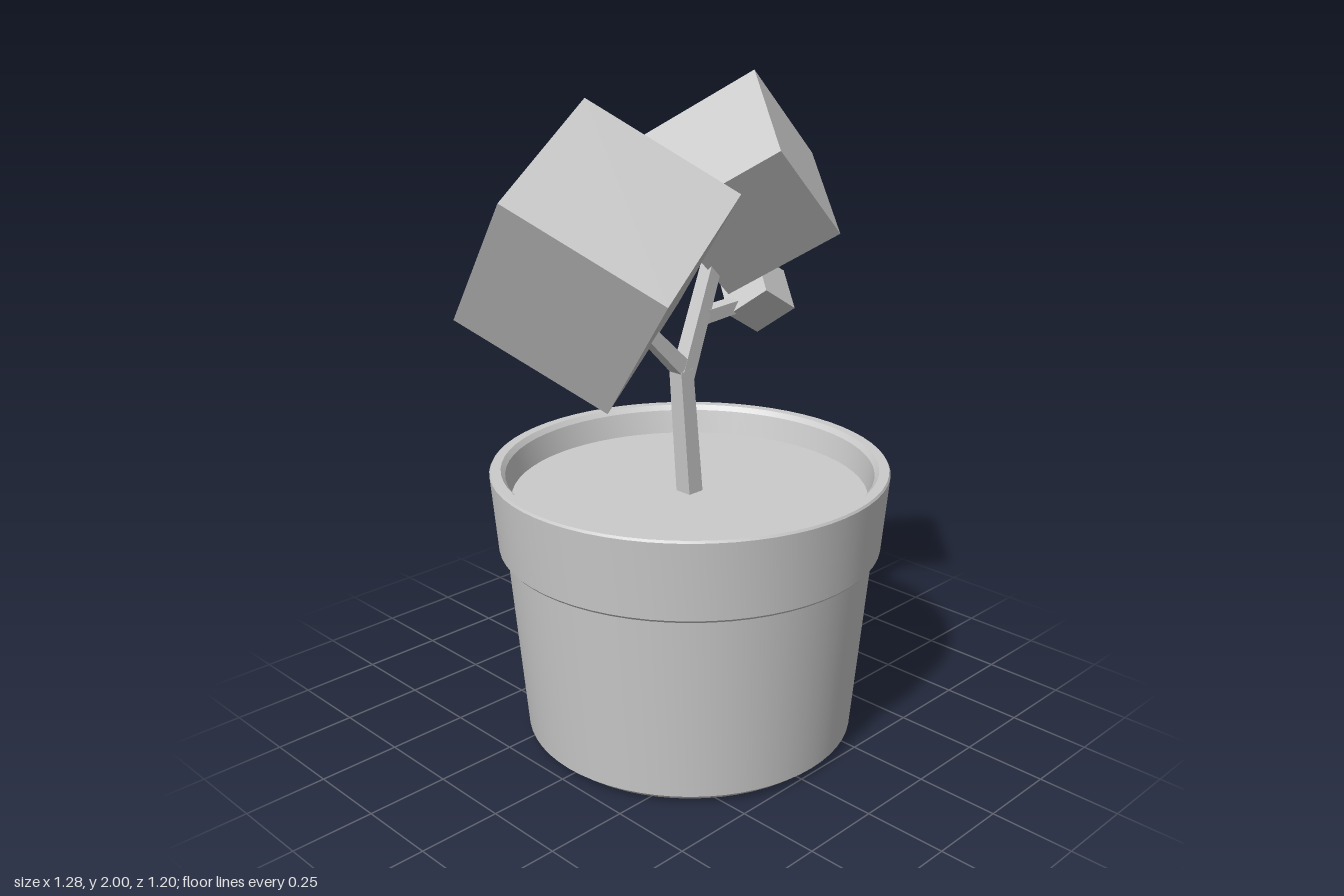
import * as THREE from 'three';
import { toCreasedNormals } from 'three/addons/utils/BufferGeometryUtils.js';

const smooth = new THREE.MeshStandardMaterial({ color: 0xcccccc });
const flat = new THREE.MeshStandardMaterial({ color: 0xcccccc, flatShading: true });
const V = (p) => new THREE.Vector3(...p);
const POT_X = 0.033;

function add(parent, name, geometry, material) {
  const mesh = new THREE.Mesh(geometry, material);
  mesh.name = name;
  parent.add(mesh);
  return mesh;
}

// Square tapering limb running from one point to another
function limb(parent, name, from, to, w0, w1) {
  const a = V(from), b = V(to), dir = b.clone().sub(a);
  const geo = new THREE.CylinderGeometry(w1 * Math.SQRT1_2, w0 * Math.SQRT1_2, dir.length(), 4);
  geo.rotateY(Math.PI / 4);
  const mesh = add(parent, name, geo, flat);
  mesh.position.copy(a).add(b).multiplyScalar(0.5);
  mesh.quaternion.setFromUnitVectors(new THREE.Vector3(0, 1, 0), dir.normalize());
}

// Tilted cube of foliage, oriented by two of its edge directions
function foliage(parent, name, center, size, edgeA, edgeB) {
  const x = V(edgeA).normalize();
  const z = x.clone().cross(V(edgeB)).normalize();
  const y = z.clone().cross(x);
  const mesh = add(parent, name, new THREE.BoxGeometry(size, size, size), flat);
  mesh.quaternion.setFromRotationMatrix(new THREE.Matrix4().makeBasis(x, y, z));
  mesh.position.set(...center);
}

export function createModel() {
  const model = new THREE.Group();
  model.name = 'pottedTree';

  // Pot: base bevel, tapered body, overhanging rim, inner wall
  const profile = [
    [0, 0], [0.478, 0], [0.508, 0.025], [0.558, 0.61], [0.574, 0.61], [0.581, 0.618],
    [0.601, 0.853], [0.597, 0.86], [0.567, 0.86], [0.554, 0.845], [0.536, 0.76],
  ].map(([r, y]) => new THREE.Vector2(r, y));
  const pot = add(model, 'pot', toCreasedNormals(new THREE.LatheGeometry(profile, 64), 0.4), smooth);
  pot.position.x = POT_X;

  // Soil
  const soil = add(model, 'soil', new THREE.CircleGeometry(0.54, 64).rotateX(-Math.PI / 2), smooth);
  soil.position.set(POT_X, 0.77, 0);

  // Trunk and branches
  const tree = new THREE.Group();
  tree.name = 'tree';
  model.add(tree);
  limb(tree, 'trunk', [0.033, 0.76, 0], [-0.003, 1.16, 0], 0.056, 0.05);
  limb(tree, 'rightBranch', [-0.01, 1.17, 0], [-0.13, 1.285, 0], 0.048, 0.042);
  limb(tree, 'leftBranch', [0, 1.13, 0], [0.14, 1.5, 0], 0.05, 0.044);
  limb(tree, 'twig', [0.07, 1.305, 0], [0.25, 1.322, 0.015], 0.042, 0.038);

  // Foliage cubes
  foliage(tree, 'largeFoliage', [-0.264, 1.521, -0.072], 0.503, [0.424, 0.217, -0.147], [0.249, -0.254, 0.356]);
  foliage(tree, 'mediumFoliage', [0.236, 1.678, 0.009], 0.377, [0.27, -0.265, 0], [-0.187, -0.185, 0.268]);
  foliage(tree, 'smallFoliage', [0.296, 1.344, 0.022], 0.145, [0.058, 0.09, -0.097], [-0.05, -0.09, -0.1]);
  return model;
}
